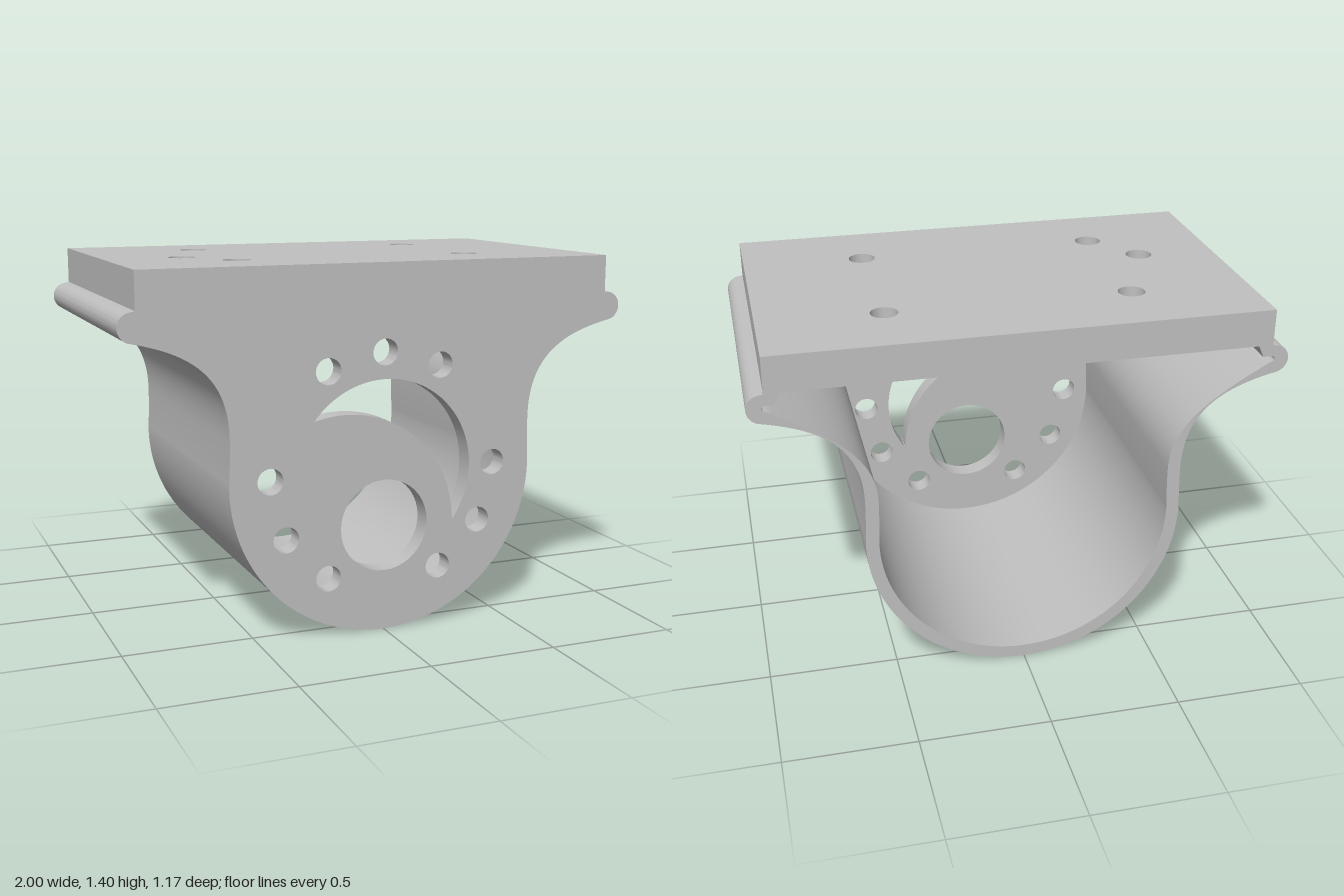
import * as THREE from 'three';
import { toCreasedNormals } from 'three/addons/utils/BufferGeometryUtils.js';

const BACK = -0.585, FRONT = 0.585, PANEL = 0.08;
const PLATE_X = 0.935, PLATE_Y = 1.26, TOP = 1.4, POCKET = 0.065;

// Mirrors right-half points (top to bottom centre) into a full left-right run
const mirrorRun = (pts) => [
  ...pts,
  ...pts.slice(0, -1).reverse().map((p) => new THREE.Vector2(-p.x, p.y)),
];

// Outer right half of the cradle: rolled lip, flared neck, round belly
function outerHalf() {
  const p = new THREE.Path();
  p.moveTo(PLATE_X, PLATE_Y);
  p.lineTo(0.945, PLATE_Y - 0.003);
  p.absarc(0.945, 1.202, 0.055, Math.PI / 2, -1.31, true);
  p.bezierCurveTo(0.72, 1.1, 0.605, 1.0, 0.605, 0.78);
  p.quadraticCurveTo(0.605, 0.7, 0.61, 0.61);
  p.absarc(0, 0.61, 0.61, 0, -Math.PI / 2, true);
  return p.getPoints(28);
}

// Inner right half, one wall thickness inside, with the slot of the rolled lip
function innerHalf() {
  const p = new THREE.Path();
  p.moveTo(0.88, PLATE_Y);
  p.lineTo(0.9, 1.215);
  p.lineTo(0.935, 1.215);
  p.absarc(0.935, 1.204, 0.011, Math.PI / 2, -Math.PI / 2, true);
  p.bezierCurveTo(0.69, 1.06, 0.555, 0.96, 0.555, 0.78);
  p.quadraticCurveTo(0.555, 0.7, 0.56, 0.61);
  p.absarc(0, 0.61, 0.56, 0, -Math.PI / 2, true);
  return p.getPoints(28);
}

const roundHole = (x, y, r) => new THREE.Path().absarc(x, y, r, 0, Math.PI * 2, false);

function hexHole(x, y, r) {
  const pts = [];
  for (let i = 0; i < 6; i++) {
    const a = Math.PI / 2 + (i * Math.PI) / 3;
    pts.push(new THREE.Vector2(x + r * Math.cos(a), y + r * Math.sin(a)));
  }
  return new THREE.Path(pts);
}

function extrude(shape, depth) {
  const g = new THREE.ExtrudeGeometry(shape, { depth, bevelEnabled: false, curveSegments: 20 });
  return toCreasedNormals(g, 0.5);
}

export function createModel() {
  const group = new THREE.Group();
  const grey = new THREE.MeshStandardMaterial({ color: 0xc0c0c0 });
  grey.name = 'grey';
  const add = (name, geometry) => {
    const mesh = new THREE.Mesh(geometry, grey);
    mesh.name = name;
    group.add(mesh);
    return mesh;
  };

  // Curved cradle wall
  const outer = mirrorRun(outerHalf());
  const inner = mirrorRun(innerHalf()).reverse();
  add('cradleWall', extrude(new THREE.Shape([...outer, ...inner]), FRONT - PANEL - BACK))
    .position.z = BACK;

  // Front panel with bolt circle, shaft hole and crescent vent
  const panel = new THREE.Shape([
    new THREE.Vector2(PLATE_X, TOP), ...outer, new THREE.Vector2(-PLATE_X, TOP),
  ]);
  panel.holes.push(roundHole(0, 0.41, 0.177), roundHole(0, 1.07, 0.05));
  for (const [x, y] of [[0.226, 1.01], [0.453, 0.618], [0.393, 0.393], [0.226, 0.226]]) {
    for (const side of [-1, 1]) panel.holes.push(roundHole(side * x, y, 0.05));
  }
  const crescent = new THREE.Path();
  crescent.absarc(0, 0.615, 0.354, -0.62, 2.52, false);
  crescent.absarc(-0.16, 0.4, 0.445, 1.86, 0.02, true);
  panel.holes.push(crescent);
  add('frontPanel', extrude(panel, PANEL)).position.z = FRONT - PANEL;

  // Mounting plate: round holes above, hexagonal nut pockets below
  const bolts = [[-0.475, -0.292], [-0.475, 0.292], [-0.63, 0.09], [0.467, -0.292], [0.467, 0.292]];
  const plateLayer = (name, y, height, hole) => {
    const z0 = -(FRONT - PANEL), z1 = -BACK;
    const shape = new THREE.Shape([
      new THREE.Vector2(-PLATE_X, z0), new THREE.Vector2(PLATE_X, z0),
      new THREE.Vector2(PLATE_X, z1), new THREE.Vector2(-PLATE_X, z1),
    ]);
    for (const [x, z] of bolts) shape.holes.push(hole(x, -z));
    const geometry = extrude(shape, height).rotateX(-Math.PI / 2);
    add(name, geometry).position.y = y;
  };
  plateLayer('nutPocketLayer', PLATE_Y, POCKET, (x, y) => hexHole(x, y, 0.09));
  plateLayer('mountingPlate', PLATE_Y + POCKET, TOP - PLATE_Y - POCKET, (x, y) => roundHole(x, y, 0.052));

  return group;
}
